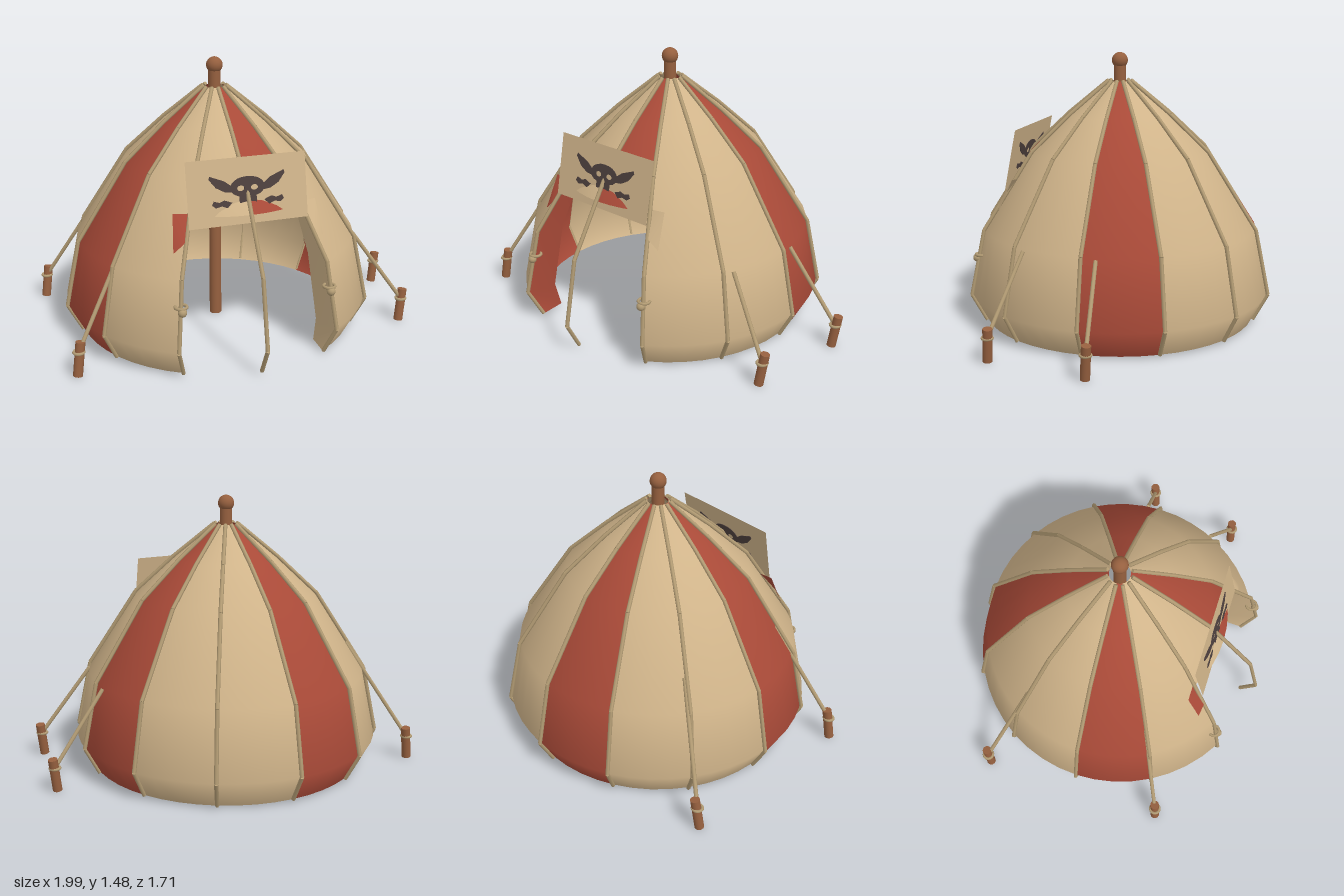
import * as THREE from 'three';
import { mergeGeometries } from 'three/addons/utils/BufferGeometryUtils.js';

const mat = (name, color, side = THREE.FrontSide) => {
  const m = new THREE.MeshStandardMaterial({ color, side });
  m.name = name;
  return m;
};

const V = (x, y, z) => new THREE.Vector3(x, y, z);

// Straight round rod between two points
function rod(a, b, r, sides = 8) {
  const d = b.clone().sub(a);
  const g = new THREE.CylinderGeometry(r, r, d.length(), sides);
  g.applyQuaternion(new THREE.Quaternion().setFromUnitVectors(V(0, 1, 0), d.normalize()));
  const m = a.clone().add(b).multiplyScalar(0.5);
  return g.translate(m.x, m.y, m.z);
}

export function createModel() {
  const canvas = mat('cream canvas', 0xd0b48a, THREE.DoubleSide);
  const red = mat('red canvas', 0xa94a38, THREE.DoubleSide);
  const rope = mat('rope', 0xb39c74);
  const wood = mat('wood', 0x96603f);
  const ink = mat('dark paint', 0x4d403e);

  const model = new THREE.Group();
  const tent = new THREE.Group();
  tent.name = 'tent';
  tent.position.x = -0.08;
  model.add(tent);
  const add = (parent, name, geo, m) => {
    const mesh = new THREE.Mesh(geo, m);
    mesh.name = name;
    parent.add(mesh);
    return mesh;
  };

  // Canvas panels: twelve slices of one turned profile, the two front ones cut short
  const full = [[0.755, 0.01], [0.835, 0.16], [0.76, 0.52], [0.49, 0.94], [0.275, 1.14], [0.055, 1.32]];
  const short = [[0.586, 0.79], ...full.slice(3)];
  for (let i = 0; i < 12; i++) {
    const front = i === 0 || i === 11;
    const pts = (front ? short : full).map(([r, y]) => new THREE.Vector2(r, y));
    const geo = new THREE.LatheGeometry(pts, 4, i * Math.PI / 6, Math.PI / 6);
    add(tent, front ? 'frontPanel' : 'panel', geo, i % 3 === 0 ? red : canvas);
  }

  // Seam ropes along every panel edge
  const seam = full.map(([r, y]) => [r + 0.009, y]);
  for (let i = 0; i < 12; i++) {
    const a = i * Math.PI / 6;
    const p = seam.map(([r, y]) => V(r * Math.sin(a), y + 0.003, r * Math.cos(a)));
    const parts = [];
    for (let k = 0; k < p.length - 1; k++) parts.push(rod(p[k], p[k + 1], 0.011, 6));
    add(tent, 'seamRope', mergeGeometries(parts), rope);
  }

  // Centre pole with ball finial
  add(tent, 'centrePole', new THREE.CylinderGeometry(0.033, 0.033, 1.41, 20).translate(0, 0.705, 0), wood);
  add(tent, 'finial', new THREE.SphereGeometry(0.044, 20, 14).translate(0, 1.433, 0), wood);

  // Door flaps tied back at both sides of the opening
  const edge = [[0.38, 0.01, 0.655], [0.417, 0.16, 0.722], [0.38, 0.52, 0.658], [0.293, 0.79, 0.507]];
  const inner = [[0.385, 0.01, 0.52], [0.375, 0.16, 0.57], [0.34, 0.52, 0.52], [0.29, 0.79, 0.42]];
  for (const s of [1, -1]) {
    const pos = [], idx = [];
    edge.forEach((e, k) => {
      const n = inner[k];
      pos.push(s * e[0], e[1], e[2], s * n[0], n[1], n[2]);
      if (k) idx.push(2 * k - 2, 2 * k - 1, 2 * k, 2 * k - 1, 2 * k + 1, 2 * k);
    });
    // folded corner outside the seam
    const c = pos.length / 3;
    pos.push(s * 0.29, 0.8, 0.5, s * 0.38, 0.81, 0.5, s * 0.4, 0.63, 0.575, s * 0.345, 0.68, 0.585);
    idx.push(c, c + 3, c + 1, c + 1, c + 3, c + 2);
    if (s < 0) idx.reverse();
    const geo = new THREE.BufferGeometry();
    geo.setAttribute('position', new THREE.Float32BufferAttribute(pos, 3));
    geo.setIndex(idx);
    geo.computeVertexNormals();
    add(tent, 'doorFlap', geo, s > 0 ? canvas : red);
    // tie knot and loop
    add(tent, 'tieKnot', mergeGeometries([
      new THREE.SphereGeometry(0.023, 12, 8).translate(s * 0.395, 0.37, 0.705),
      new THREE.TorusGeometry(0.03, 0.008, 6, 14).rotateX(Math.PI / 2).translate(s * 0.395, 0.39, 0.68),
    ]), rope);
  }

  // Board over the door, leaning back
  const sign = new THREE.Group();
  sign.name = 'sign';
  sign.position.set(-0.08, 0.905, 0.533);
  sign.rotation.x = -0.195;
  model.add(sign);
  add(sign, 'signBoard', new THREE.PlaneGeometry(0.63, 0.336), canvas);

  // Painted skull and bones, a thin plate visible on both faces
  const plates = [];
  const plate = (shape) => plates.push(
    new THREE.ExtrudeGeometry(shape, { depth: 0.006, bevelEnabled: false, curveSegments: 10 }).translate(0, 0, -0.003));
  const poly = (pts) => new THREE.Shape(pts.map(([x, y]) => new THREE.Vector2(x, y)));
  const skull = new THREE.Shape();
  skull.moveTo(-0.045, -0.065);
  skull.lineTo(0.045, -0.065);
  skull.lineTo(0.045, -0.028);
  skull.bezierCurveTo(0.12, -0.01, 0.1, 0.07, 0, 0.07);
  skull.bezierCurveTo(-0.1, 0.07, -0.12, -0.01, -0.045, -0.028);
  for (const s of [1, -1]) {
    const eye = new THREE.Path();
    eye.absellipse(s * 0.036, 0.012, 0.019, 0.014, 0, Math.PI * 2, true);
    skull.holes.push(eye);
  }
  skull.holes.push(new THREE.Path([[0, -0.01], [0.01, -0.028], [-0.01, -0.028]].map(([x, y]) => new THREE.Vector2(x, y))));
  plate(skull);
  for (const s of [1, -1]) {
    const m = (pts) => pts.map(([x, y]) => [s * x, y]);
    plate(poly(m([[0.075, 0.02], [0.12, 0.055], [0.195, 0.085], [0.2, 0.07], [0.165, 0.025], [0.12, 0.0], [0.08, -0.005]])));
    plate(poly(m([[0.085, -0.055], [0.125, -0.04], [0.15, -0.05], [0.18, -0.04], [0.19, -0.06],
      [0.17, -0.075], [0.14, -0.068], [0.11, -0.08]])));
  }
  add(sign, 'skullPainting', mergeGeometries(plates), ink);

  // Pegs and guy ropes: peg x, z, then rope end on the canvas
  const guys = [
    [0.87, 0.43, V(0.61, 0.51, 0.33)],
    [0.965, -0.105, V(0.68, 0.51, -0.075)],
    [-0.955, 0.49, V(-0.65, 0.67, 0.325)],
    [-0.955, -0.53, V(-0.65, 0.67, -0.34)],
  ];
  for (const [x, z, end] of guys) {
    add(model, 'peg', rod(V(x - 0.012, 0.003, z + 0.007), V(x + 0.012, 0.182, z - 0.007), 0.025, 14), wood);
    add(model, 'guyRope', rod(V(x, 0.13, z), end, 0.011), rope);
    add(model, 'pegLoop', new THREE.TorusGeometry(0.026, 0.008, 6, 16).rotateX(Math.PI / 2).translate(x, 0.13, z), rope);
  }

  return model;
}
